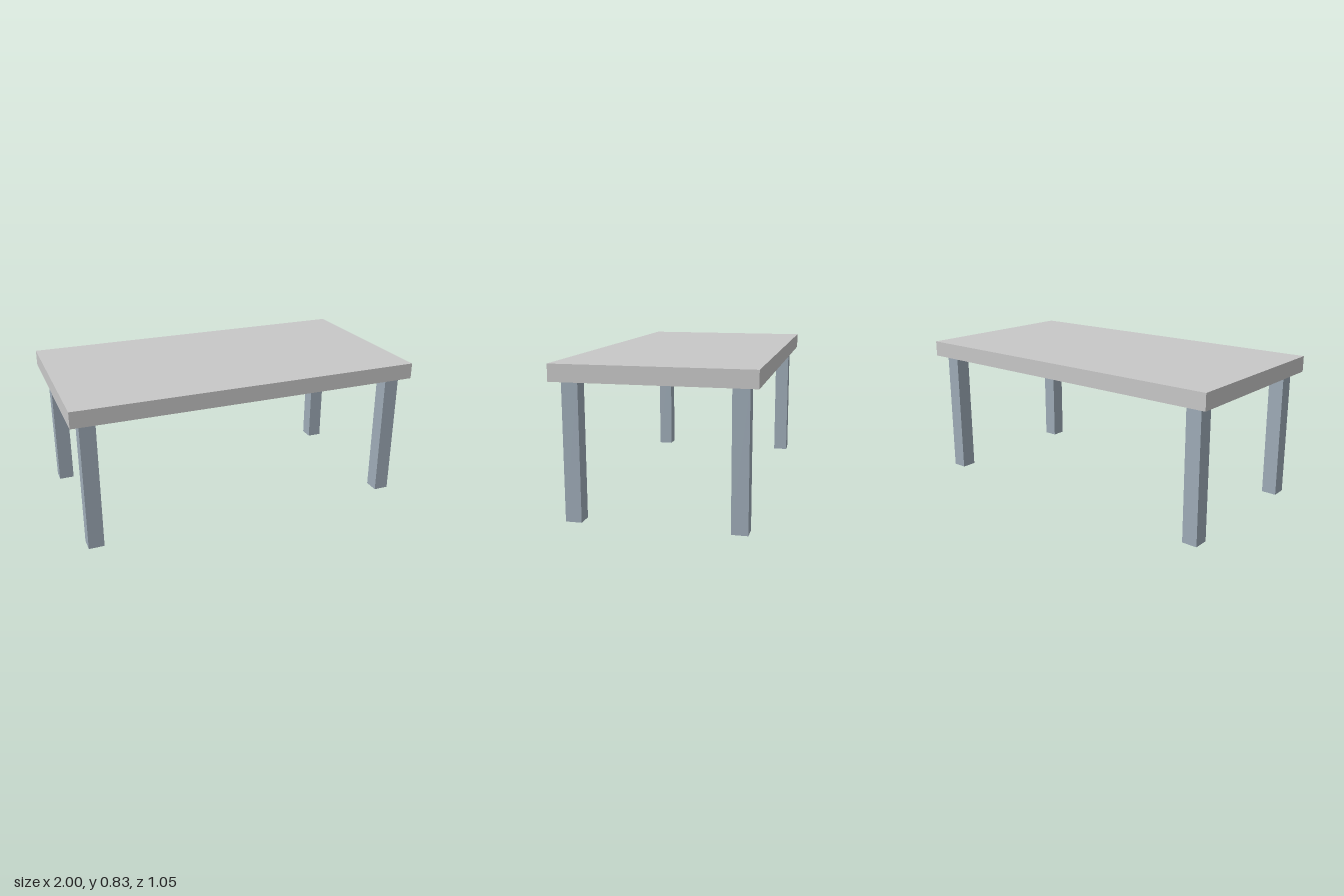
import * as THREE from 'three';

export function createModel() {
  const model = new THREE.Group();
  model.name = 'table';

  const topGrey = new THREE.MeshStandardMaterial({ color: 0xc8c8c8 });
  topGrey.name = 'light grey';
  const legGrey = new THREE.MeshStandardMaterial({ color: 0x9facb8 });
  legGrey.name = 'blue grey';

  const legHeight = 0.738;
  const topThickness = 0.091;
  const legWidth = 0.087;

  // Slab top
  const top = new THREE.Mesh(new THREE.BoxGeometry(2, topThickness, 1.053), topGrey);
  top.name = 'tableTop';
  top.position.y = legHeight + topThickness / 2;
  model.add(top);

  // Four square legs, set in from the corners
  const legGeometry = new THREE.BoxGeometry(legWidth, legHeight, legWidth);
  for (const [xName, x] of [['Left', 0.905], ['Right', -0.905]]) {
    for (const [zName, z] of [['front', 0.434], ['back', -0.434]]) {
      const leg = new THREE.Mesh(legGeometry, legGrey);
      leg.name = `${zName}${xName}Leg`;
      leg.position.set(x, legHeight / 2, z);
      model.add(leg);
    }
  }

  return model;
}
